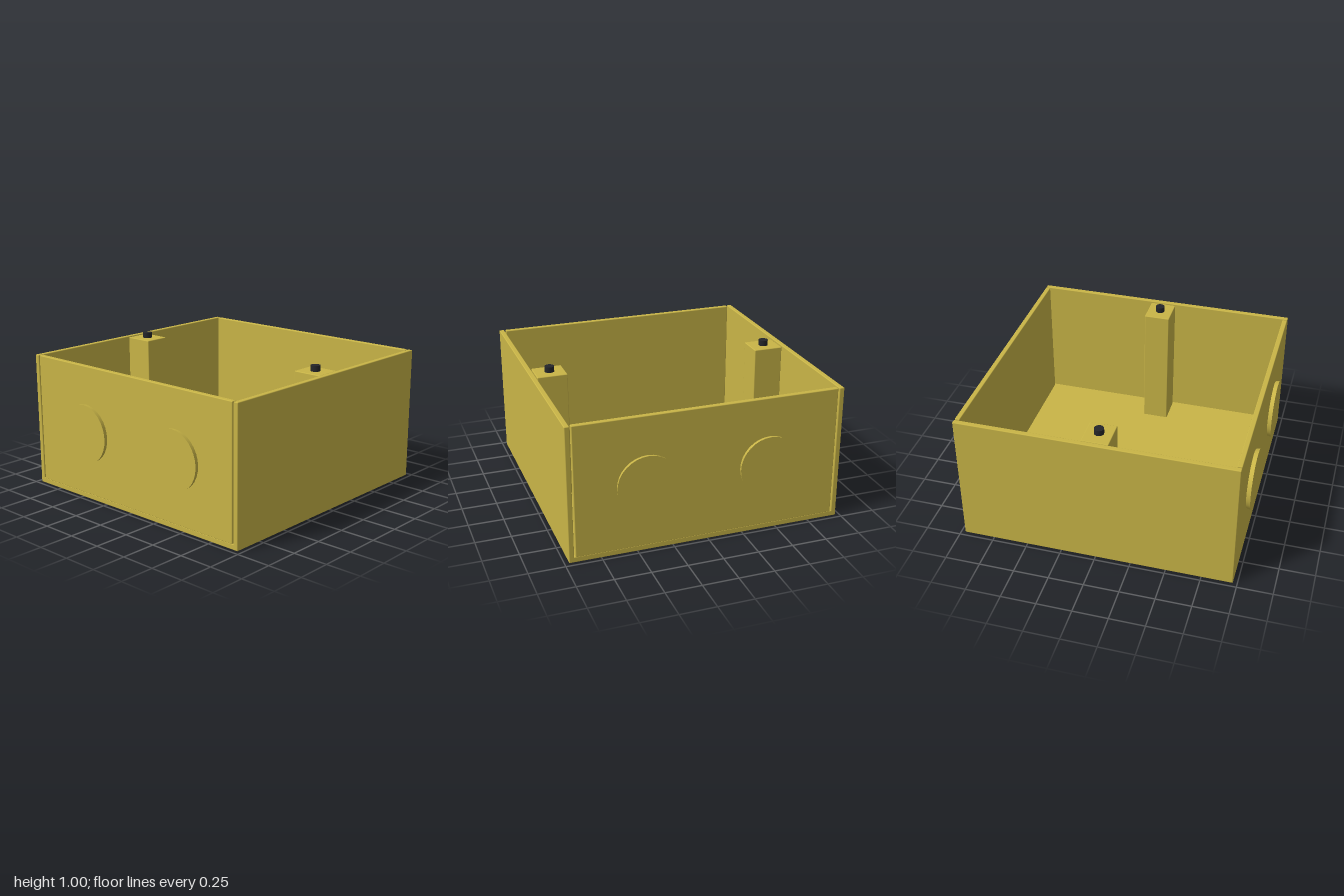
import * as THREE from 'three';
import { RoundedBoxGeometry } from 'three/addons/geometries/RoundedBoxGeometry.js';

export function createModel() {
  const model = new THREE.Group();
  const yellow = new THREE.MeshStandardMaterial({ color: 0xc9b547 });
  yellow.name = 'yellow paint';
  const black = new THREE.MeshStandardMaterial({ color: 0x24262a });
  black.name = 'black metal';

  function add(name, geometry, material, x, y, z) {
    const mesh = new THREE.Mesh(geometry, material);
    mesh.name = name;
    mesh.position.set(x, y, z);
    model.add(mesh);
    return mesh;
  }
  const slab = (w, h, d) => new RoundedBoxGeometry(w, h, d, 2, 0.006);

  // Floor and the two full-height side walls
  add('floor', slab(1.94, 0.04, 1.94), yellow, 0, 0.02, 0);

  for (const s of [-1, 1]) {
    const side = s > 0 ? 'left' : 'right';
    const end = s > 0 ? 'front' : 'back';
    add(side + 'Wall', slab(0.036, 0.97, 1.94), yellow, s * 0.952, 0.485, 0);

    // End walls sit between the sides with a narrow seam
    add(end + 'Wall', slab(1.85, 0.935, 0.036), yellow, 0, 0.5025, s * 0.952);

    // Round knockouts, slightly tapered towards the wall
    for (const x of [-0.43, 0.43]) {
      const disc = new THREE.CylinderGeometry(0.213, 0.205, 0.04, 32);
      disc.rotateX(s * Math.PI / 2);
      add(end + 'Knockout', disc, yellow, x, 0.488, s * 0.98);
    }

    // Mounting post with its screw
    add(side + 'Post', slab(0.215, 0.935, 0.19), yellow, s * 0.8175, 0.4975, 0);
    add(side + 'Screw', new THREE.CylinderGeometry(0.034, 0.034, 0.045, 20), black, s * 0.817, 0.9825, 0);
  }
  return model;
}
